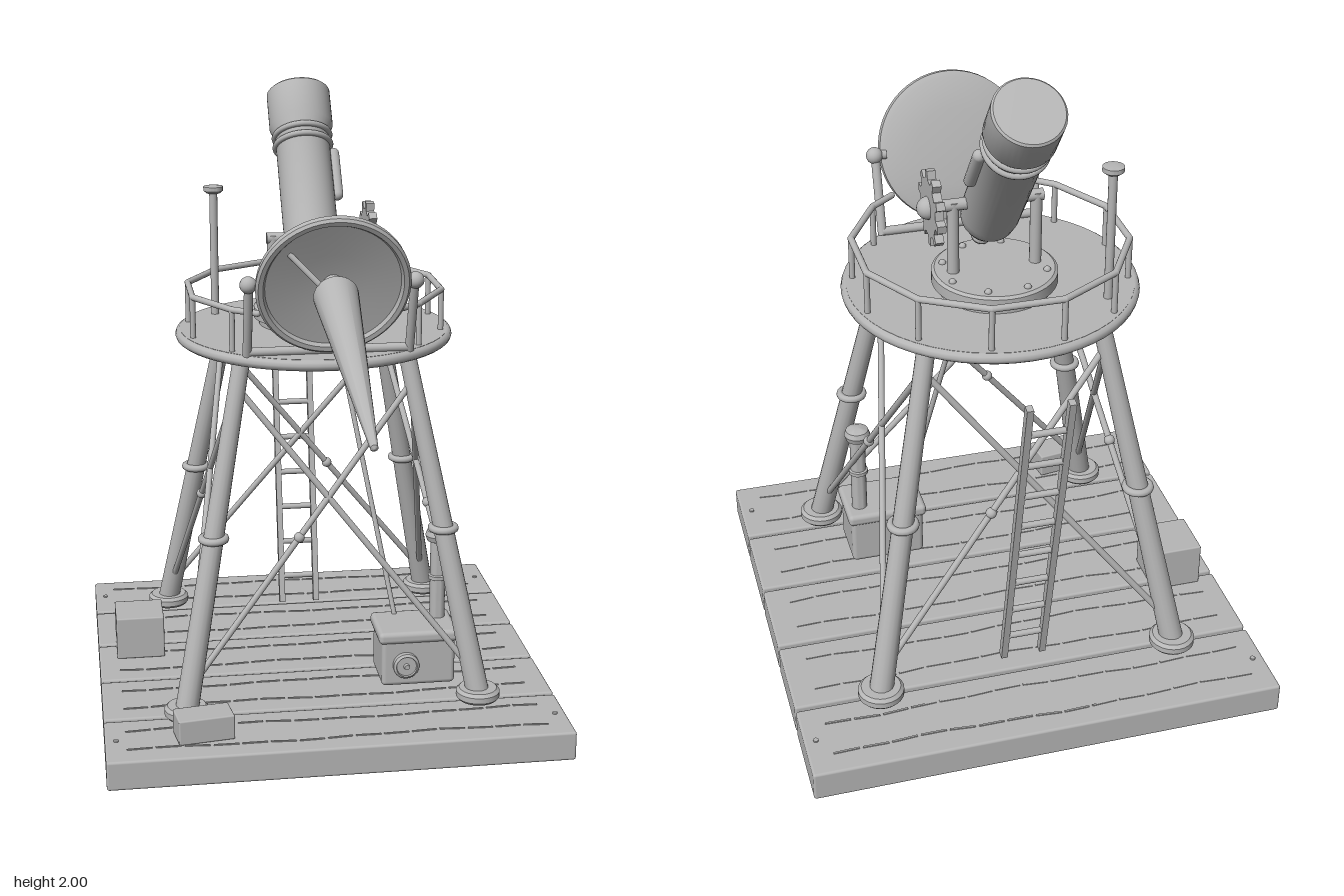
import * as THREE from 'three';
import { toCreasedNormals } from 'three/addons/utils/BufferGeometryUtils.js';
import { RoundedBoxGeometry } from 'three/addons/geometries/RoundedBoxGeometry.js';

const CZ = -0.235; // centre of tower in z

export function createModel() {
  const model = new THREE.Group();
  const gray = new THREE.MeshStandardMaterial({ color: 0xb6b6b6 });
  gray.name = 'plain gray';

  const group = (name, parent = model) => {
    const g = new THREE.Group();
    g.name = name;
    parent.add(g);
    return g;
  };
  const add = (name, geo, pos = [0, 0, 0], parent = model) => {
    const m = new THREE.Mesh(geo, gray);
    m.name = name;
    m.position.set(...pos);
    parent.add(m);
    return m;
  };
  // Round bar between two points
  const rod = (name, a, b, r, parent = model, rEnd = r) => {
    const p = new THREE.Vector3(...a), q = new THREE.Vector3(...b);
    const d = q.clone().sub(p);
    const m = add(name, new THREE.CylinderGeometry(rEnd, r, d.length(), 16), p.clone().add(q).multiplyScalar(0.5).toArray(), parent);
    m.quaternion.setFromUnitVectors(new THREE.Vector3(0, 1, 0), d.normalize());
    return m;
  };
  const lathe = (pts, seg = 40) =>
    toCreasedNormals(new THREE.LatheGeometry(pts.map(p => new THREE.Vector2(...p)), seg), 0.6);
  const box = (w, h, d, r = 0.008) => new RoundedBoxGeometry(w, h, d, 2, r);
  const ball = r => new THREE.SphereGeometry(r, 20, 14);

  // Plank base with grain lines and nails
  const base = group('plankBase');
  for (let i = 0; i < 5; i++) {
    const z = -0.822 + i * 0.291;
    add('plank', box(1.45, 0.095, 0.278), [0, 0.0475, z], base);
    for (const s of [-1, 1]) {
      const wave = x => z + s * 0.065 + 0.006 * Math.sin(x * 7 + i * 2 + s) + 0.003 * Math.sin(x * 23 + i);
      for (let k = 0; k < 15; k++) {
        const x0 = -0.66 + k * 0.088, x1 = x0 + 0.078;
        const strip = add('grainLine', new THREE.BoxGeometry(x1 - x0, 0.004, 0.006), [(x0 + x1) / 2, 0.096, (wave(x0) + wave(x1)) / 2], base);
        strip.rotation.y = -Math.atan2(wave(x1) - wave(x0), x1 - x0);
      }
      if (i % 4 === 0) add('nail', new THREE.CylinderGeometry(0.008, 0.008, 0.006, 10), [s * 0.69, 0.097, z], base);
    }
  }

  // Four splayed legs with feet and collars
  const legPoint = (sx, sz, y) => {
    const s = 0.465 - (y - 0.13) * 0.1916;
    return [sx * s, y, CZ + sz * s];
  };
  const legs = group('legs');
  const corners = [[-1, 1], [1, 1], [1, -1], [-1, -1]];
  for (const [sx, sz] of corners) {
    rod('leg', legPoint(sx, sz, 0.125), legPoint(sx, sz, 1.215), 0.037, legs, 0.027);
    add('foot', lathe([[0, 0.113], [0.062, 0.113], [0.07, 0.122], [0.07, 0.14], [0.06, 0.15], [0, 0.15]], 24), [sx * 0.465, 0, CZ + sz * 0.465], legs);
    const collar = add('legCollar', new THREE.TorusGeometry(0.037, 0.012, 10, 24), legPoint(sx, sz, 0.66), legs);
    collar.rotation.x = Math.PI / 2;
  }
  // Crossed braces on each side of the tower
  corners.forEach((a, i) => {
    const b = corners[(i + 1) % 4];
    const low = legPoint(...a, 0.2), high = legPoint(...b, 1.12);
    rod('brace', low, high, 0.01, legs);
    rod('brace', legPoint(...b, 0.2), legPoint(...a, 1.12), 0.01, legs);
    add('braceKnob', ball(0.017), new THREE.Vector3(...low).lerp(new THREE.Vector3(...high), 0.49).toArray(), legs);
  });

  // Round deck
  const deck = group('deck');
  add('deckPlate', new THREE.CylinderGeometry(0.43, 0.43, 0.035, 48), [0, 1.2225, CZ], deck);
  add('deckRim', new THREE.TorusGeometry(0.427, 0.018, 10, 56), [0, 1.222, CZ], deck).rotation.x = Math.PI / 2;

  // Railing open at the front
  const railing = group('railing');
  const railAt = (deg, y, r = 0.41) => {
    const a = deg * Math.PI / 180;
    return [r * Math.sin(a), y, CZ + r * Math.cos(a)];
  };
  const angles = [32, 45, 75, 105, 135, 165, 195, 225, 255, 285, 315, 328];
  angles.forEach((a, i) => {
    const end = i === 0 || i === angles.length - 1;
    add('railJoint', ball(0.01), railAt(a, 1.37), railing);
    if (!end) rod('railPost', railAt(a, 1.235), railAt(a, 1.37), 0.009, railing);
    if (i) rod('handrail', railAt(angles[i - 1], 1.37), railAt(a, 1.37), 0.01, railing);
  });

  // Leaning ladder
  const ladder = group('ladder');
  ladder.position.set(0, 0.647, -0.74);
  ladder.rotation.x = -0.2056;
  for (const s of [-1, 1]) add('ladderRail', new THREE.BoxGeometry(0.02, 1.078, 0.024), [s * 0.061, 0, 0], ladder);
  for (let i = 0; i < 8; i++) {
    const y = -0.445 + i * 0.1255;
    rod('rung', [-0.06, y, 0], [0.06, y, 0], 0.01, ladder);
  }

  // Crates
  add('tallCrate', box(0.16, 0.145, 0.16, 0.005), [-0.585, 0.167, -0.345]);
  add('lowCrate', box(0.175, 0.08, 0.1, 0.005), [-0.42, 0.135, 0.34]).rotation.y = 0.14;

  // Boiler box with dial, chimney and feed pipe
  const boiler = group('boiler');
  add('boilerBody', box(0.24, 0.17, 0.18, 0.015), [0.293, 0.203, 0.033], boiler);
  add('boilerLid', box(0.26, 0.04, 0.195, 0.015), [0.293, 0.285, 0.033], boiler);
  const dial = add('dial', lathe([[0, 0], [0.042, 0], [0.042, 0.02], [0.034, 0.026], [0.032, 0.02], [0.01, 0.02], [0.008, 0.03], [0, 0.032]], 28), [0.25, 0.193, 0.12], boiler);
  dial.rotation.x = Math.PI / 2;
  add('chimney', lathe([
    [0, 0.28], [0.025, 0.28], [0.025, 0.435], [0.031, 0.438], [0.031, 0.45], [0.025, 0.453],
    [0.025, 0.565], [0.036, 0.57], [0.042, 0.588], [0.036, 0.604], [0.02, 0.612], [0, 0.614]], 24), [0.375, 0, 0.0], boiler);
  rod('feedPipe', [0.24, 0.3, -0.035], [0.078, 1.21, -0.25], 0.008, boiler);

  // Turntable and fork
  const mount = group('telescopeMount');
  add('turntable', lathe([[0, 1.235], [0.17, 1.235], [0.17, 1.258], [0.187, 1.262], [0.187, 1.295], [0.178, 1.302], [0, 1.302]], 48), [0, 0, -0.283], mount);
  for (let i = 0; i < 8; i++) {
    const a = (i + 0.5) * Math.PI / 4;
    add('bolt', ball(0.011), [0.155 * Math.sin(a), 1.303, -0.283 + 0.155 * Math.cos(a)], mount);
  }
  for (const s of [-1, 1]) rod('forkPost', [s * 0.125, 1.295, -0.28], [s * 0.125, 1.53, -0.28], 0.018, mount);
  rod('axle', [-0.145, 1.52, -0.28], [0.2, 1.52, -0.28], 0.018, mount);

  // Toothed wheel on the axle
  const gearShape = new THREE.Shape();
  const teeth = 10;
  for (let i = 0; i < teeth; i++) {
    [[0, 0.088], [0.5, 0.088], [0.58, 0.113], [0.92, 0.113]].forEach(([f, r], k) => {
      const a = (i + f) / teeth * Math.PI * 2;
      gearShape[i || k ? 'lineTo' : 'moveTo'](r * Math.cos(a), r * Math.sin(a));
    });
  }
  const gear = add('gear', new THREE.ExtrudeGeometry(gearShape, { depth: 0.026, bevelEnabled: false }), [0.173, 1.52, -0.28], mount);
  gear.rotation.y = Math.PI / 2;
  add('gearHub', ball(0.034), [0.198, 1.52, -0.28], mount);

  // Telescope, tilted back about the axle
  const scope = group('telescope');
  scope.position.set(0, 1.52, -0.28);
  scope.rotation.x = -0.66;
  add('tube', lathe([
    [0, -0.18], [0.035, -0.175], [0.065, -0.15], [0.083, -0.11], [0.088, -0.07], [0.088, 0.37],
    [0.104, 0.4], [0.104, 0.525], [0.098, 0.531], [0, 0.533]], 40), [0, 0, 0], scope);
  for (const y of [0.33, 0.365]) add('tubeRing', new THREE.TorusGeometry(0.09, 0.01, 10, 40), [0, y, 0], scope).rotation.x = Math.PI / 2;
  add('eyepiece', lathe([[0, -0.245], [0.03, -0.245], [0.032, -0.235], [0.02, -0.215], [0.02, -0.16], [0, -0.16]], 24), [0, 0, 0], scope);
  add('finder', new THREE.CapsuleGeometry(0.019, 0.15, 6, 16), [0.098, 0.225, 0], scope);

  // Signal post on the deck
  const post = group('signalPost');
  rod('postShaft', [-0.3, 1.235, -0.44], [-0.3, 1.65, -0.44], 0.013, post);
  add('postCap', lathe([[0, 1.642], [0.022, 1.642], [0.032, 1.65], [0.032, 1.664], [0, 1.67]], 20), [-0.3, 0, -0.44], post);

  // Dish with long horn
  const dish = group('dish');
  dish.position.set(0, 1.472, 0.2);
  dish.rotation.x = 1.92;
  add('dishPlate', lathe([
    [0, -0.028], [0.12, -0.025], [0.215, -0.016], [0.232, -0.008], [0.234, 0.014], [0.226, 0.022],
    [0.212, 0.02], [0.205, 0.008], [0.1, -0.004], [0, -0.008]], 56), [0, 0, 0], dish);
  add('horn', lathe([[0, 0.058], [0.066, 0.058], [0.068, 0.064], [0.011, 0.795], [0, 0.802]], 32), [0, 0, 0], dish);
  add('hornStem', new THREE.CylinderGeometry(0.03, 0.03, 0.08, 20), [0, 0.025, 0], dish);
  rod('hornStrut', [-0.135, 0.0, -0.11], [-0.04, 0.065, -0.03], 0.009, dish);

  // Yoke holding the dish
  const yoke = group('dishYoke');
  for (const s of [-1, 1]) {
    rod('yokeArm', [s * 0.25, 1.24, 0.11], [s * 0.25, 1.475, 0.185], 0.014, yoke);
    add('yokeKnob', ball(0.026), [s * 0.252, 1.475, 0.187], yoke);
    rod('yokePivot', [s * 0.215, 1.475, 0.187], [s * 0.272, 1.475, 0.187], 0.014, yoke);
  }
  rod('yokeBar', [-0.25, 1.25, 0.112], [0.25, 1.25, 0.112], 0.014, yoke);

  return model;
}
